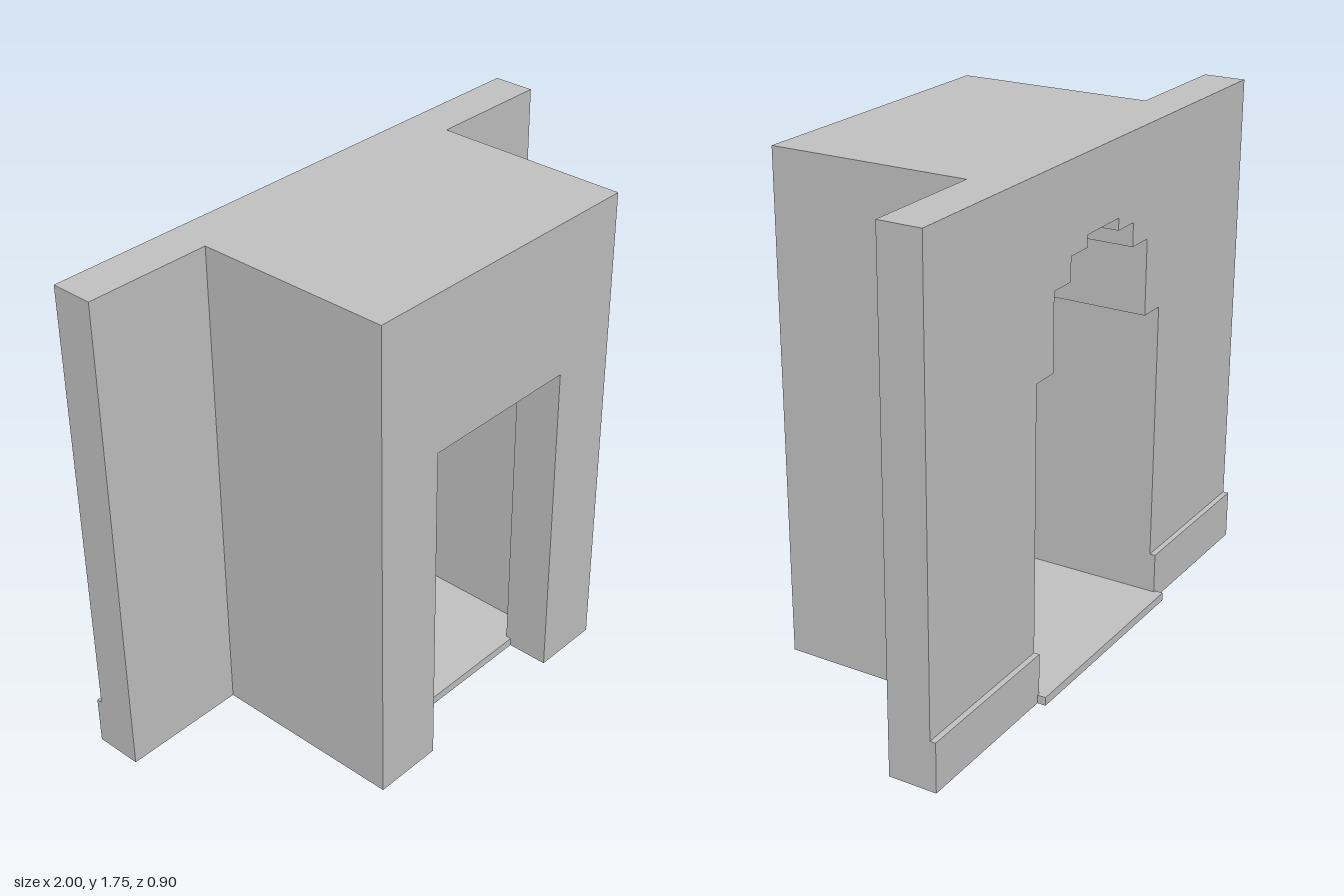
import * as THREE from 'three';

export function createModel() {
  const model = new THREE.Group();
  model.name = 'gatehouse';
  const stone = new THREE.MeshStandardMaterial({ color: 0xc0c0c0 });
  stone.name = 'stone grey';

  const HEIGHT = 1.75;
  const add = (name, geometry) => {
    const mesh = new THREE.Mesh(geometry, stone);
    mesh.name = name;
    model.add(mesh);
  };
  const box = (name, x0, x1, y0, y1, z0, z1) => {
    const g = new THREE.BoxGeometry(x1 - x0, y1 - y0, z1 - z0);
    add(name, g.translate((x0 + x1) / 2, (y0 + y1) / 2, (z0 + z1) / 2));
  };

  // Wall slab with a doorway cut up from the ground; opening runs left to right
  const wall = (name, halfWidth, opening, z0, z1) => {
    const shape = new THREE.Shape([
      [-halfWidth, 0], ...opening, [halfWidth, 0], [halfWidth, HEIGHT], [-halfWidth, HEIGHT],
    ].map(([x, y]) => new THREE.Vector2(x, y)));
    const g = new THREE.ExtrudeGeometry(shape, { depth: z1 - z0, bevelEnabled: false });
    add(name, g.translate(0, 0, z0));
  };

  // Stepped arch: treads follow a circle of radius 0.4 centred at y = 1.1
  const leftHalf = [[-0.4, 0]];
  for (let i = 4; i >= 1; i--) {
    const y = 1.1 + Math.sqrt(16 - i * i) / 10;
    leftHalf.push([-i / 10, y]);
    if (i > 1) leftHalf.push([-(i - 1) / 10, y]);
  }
  const arch = [...leftHalf, ...leftHalf.map(([x, y]) => [-x, y]).reverse()];
  const doorway = [[-0.3, 0], [-0.3, 1.2], [0.3, 1.2], [0.3, 0]];

  // Main masses
  wall('backWall', 1, arch, -0.4, -0.25);
  wall('passage', 0.55, arch, -0.25, 0.3);
  wall('frontWall', 0.55, doorway, 0.3, 0.45);

  // Passage floor with a sill projecting at the back
  box('floor', -0.4, 0.4, 0, 0.03, -0.4, 0.3);
  box('sill', -0.41, 0.41, 0, 0.03, -0.45, -0.4);

  // Door frame on the inner side of the front wall
  box('frameHeader', -0.3, 0.3, 1.2, 1.28, 0.28, 0.3);
  for (const s of [-1, 1]) {
    const span = (a, b) => (s > 0 ? [a, b] : [-b, -a]);
    box('framePost', ...span(0.3, 0.32), 0.03, 1.1, 0.28, 0.3);
    // Skirting along the back wall
    box('skirting', ...span(0.4, 1), 0, 0.175, -0.42, -0.4);
  }
  return model;
}
